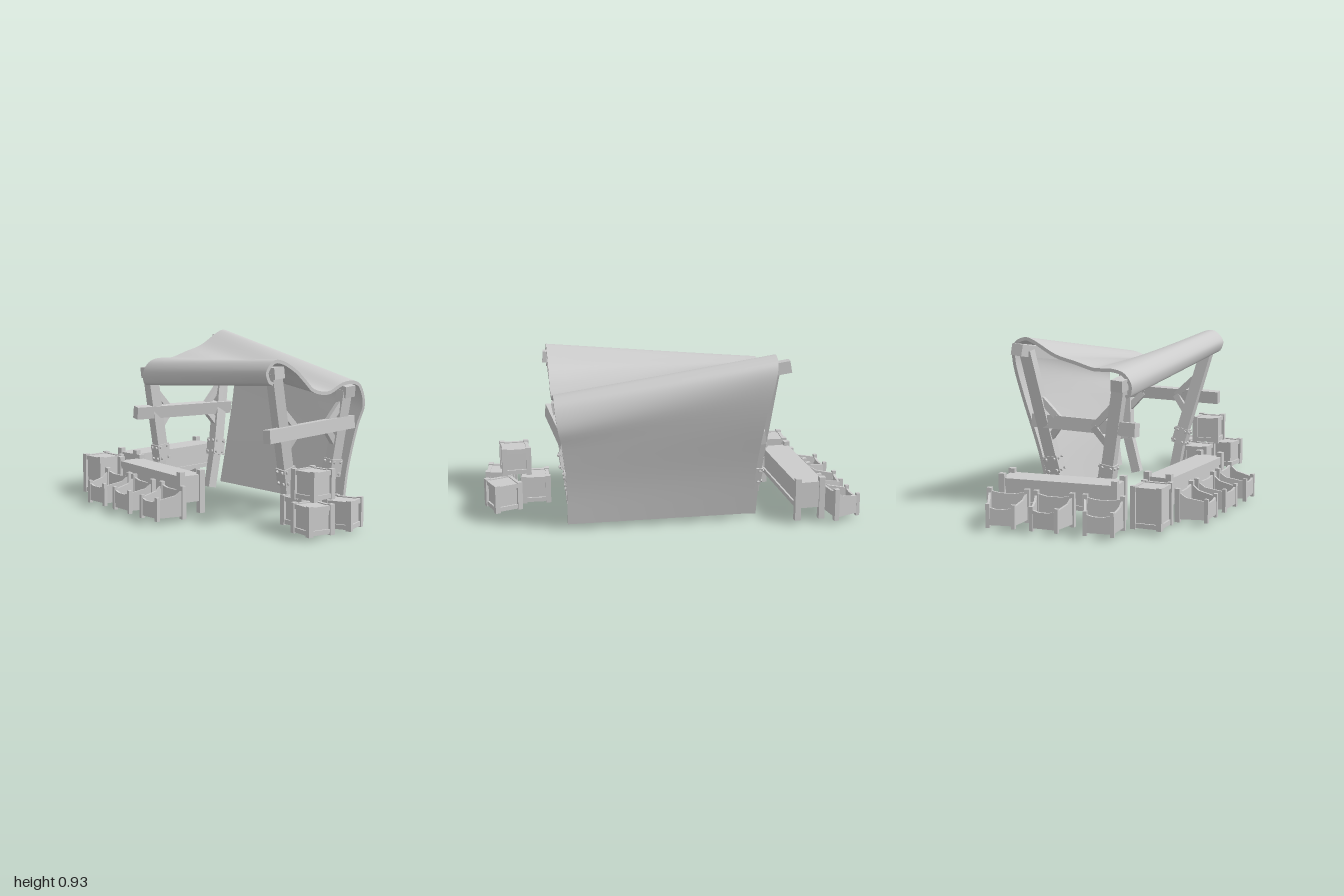
import * as THREE from 'three';
import { mergeGeometries } from 'three/addons/utils/BufferGeometryUtils.js';

const mat = new THREE.MeshStandardMaterial({ color: 0xcccccc, flatShading: true });
const clothMat = new THREE.MeshStandardMaterial({ color: 0xcccccc, side: THREE.DoubleSide });
const V = (x, y, z) => new THREE.Vector3(x, y, z);
const UP = V(0, 1, 0);

function part(parent, name, geo, pos = V(0, 0, 0), material = mat) {
  const m = new THREE.Mesh(geo, material);
  m.name = name;
  m.position.copy(pos);
  parent.add(m);
  return m;
}
const box = (parent, name, w, h, d, x, y, z) => part(parent, name, new THREE.BoxGeometry(w, h, d), V(x, y, z));

// Square timber running from a to b
function beam(parent, name, a, b, w, d = w) {
  const dir = b.clone().sub(a);
  const m = part(parent, name, new THREE.BoxGeometry(w, dir.length(), d), a.clone().add(b).multiplyScalar(0.5));
  m.quaternion.setFromUnitVectors(UP, dir.normalize());
  return m;
}

function place(parent, name, x, y, z, ry = 0) {
  const g = new THREE.Group();
  g.name = name;
  g.position.set(x, y, z);
  g.rotation.y = ry;
  parent.add(g);
  return g;
}

// Quad sheet through rows of points
function sheet(rows) {
  const n = rows[0].length, idx = [];
  for (let i = 0; i < rows.length - 1; i++)
    for (let j = 0; j < n - 1; j++) {
      const a = i * n + j, b = a + n;
      idx.push(a, b, a + 1, b, b + 1, a + 1);
    }
  const g = new THREE.BufferGeometry().setFromPoints(rows.flat());
  g.setIndex(idx);
  g.computeVertexNormals();
  return g;
}

// Thick draped cloth blended between a left and a right end profile of [z, y] points
function canopy(parent) {
  const left = [[.09, .635], [.115, .65], [.12, .71], [.08, .765], [.02, .785], [-.05, .785], [-.1, .787], [-.2, .815],
    [-.31, .845], [-.43, .91], [-.49, .925], [-.55, .89], [-.57, .79], [-.54, .6], [-.46, .3], [-.4, .03]];
  const right = [[.17, .735], [.2, .755], [.213, .81], [.16, .863], [.09, .855], [0, .805], [-.07, .745], [-.13, .695],
    [-.23, .678], [-.33, .715], [-.42, .72], [-.48, .685], [-.52, .58], [-.495, .46], [-.45, .24], [-.42, .03]];
  const curve = (pts, x, xLow) => new THREE.CatmullRomCurve3(pts.map(([z, y], i) =>
    V(THREE.MathUtils.lerp(x, xLow, THREE.MathUtils.smoothstep(i, 11, 14.5)), y, z)), false, 'catmullrom', 0.5).getPoints(75);
  const L = curve(left, -.51, -.42), R = curve(right, .63, .57);
  const outer = [], inner = [], N = 14;
  for (let i = 0; i <= N; i++) {
    const row = L.map((p, j) => p.clone().lerp(R[j], i / N));
    outer.push(row);
    inner.push(row.map((p, j) => {
      const t = row[Math.min(j + 1, row.length - 1)].clone().sub(row[Math.max(j - 1, 0)]).setX(0).normalize();
      return p.clone().add(V(0, t.z, -t.y).multiplyScalar(.018));
    }));
  }
  const e = L.length - 1;
  part(parent, 'canopyCloth', mergeGeometries([
    sheet(outer), sheet([...inner].reverse()),
    sheet([inner[0], outer[0]]), sheet([outer[N], inner[N]]),
    sheet(outer.map((r, i) => [inner[i][0], r[0]])),
    sheet(outer.map((r, i) => [r[e], inner[i][e]])),
  ]), V(0, 0, 0), clothMat);
}

// Bent post: upper and lower timbers joined by a bolted sleeve
function post(parent, name, top, joint, foot) {
  const g = place(parent, name, 0, 0, 0);
  beam(g, 'upperPost', joint, top, .055, .065);
  beam(g, 'lowerPost', foot.clone().setY(.008), joint, .045, .055);
  const s = place(g, 'sleeve', joint.x, joint.y, joint.z);
  s.quaternion.setFromUnitVectors(UP, top.clone().sub(joint).normalize());
  box(s, 'sleeveBlock', .068, .095, .08, 0, 0, 0);
  for (const y of [-.032, .032])
    for (const k of [-1, 1])
      for (const o of [-.024, .024]) {
        part(s, 'bolt', new THREE.CylinderGeometry(.007, .009, .012, 6), V(k * .038, y, o)).rotation.z = -k * Math.PI / 2;
        part(s, 'bolt', new THREE.CylinderGeometry(.007, .009, .012, 6), V(o * .8, y, k * .044)).rotation.x = k * Math.PI / 2;
      }
}

function frame(parent) {
  const g = place(parent, 'stallFrame', 0, 0, 0);
  beam(g, 'frontRoofBeam', V(-.565, .705, .06), V(.65, .8, .14), .06, .065);
  beam(g, 'backRoofBeam', V(-.585, .868, -.495), V(.635, .662, -.39), .062, .065);
  const sides = [
    { f: [V(-.52, .7, .06), V(-.515, .24, -.01), V(-.52, 0, .02)], b: [V(-.5, .85, -.48), V(-.435, .245, -.36), V(-.43, 0, -.31)],
      beam: [V(-.53, .48, .16), V(-.445, .475, -.47)] },
    { f: [V(.605, .8, .14), V(.545, .245, -.01), V(.525, 0, -.05)], b: [V(.59, .67, -.39), V(.54, .25, -.353), V(.525, 0, -.285)],
      beam: [V(.615, .474, .195), V(.575, .492, -.46)] },
  ];
  sides.forEach((s, i) => {
    const side = i ? 'left' : 'right', out = i ? .022 : -.022;
    post(g, side + 'FrontPost', ...s.f);
    post(g, side + 'BackPost', ...s.b);
    beam(g, side + 'SideBeam', ...s.beam, .05, .07).rotation.z += 0;
    // Knee braces above and below the side beam
    for (const [p, k] of [[s.f, -1], [s.b, 1]])
      for (const dy of [.14, -.11]) {
        const y = .48 + dy;
        const on = p[1].clone().lerp(p[0], (y - p[1].y) / (p[0].y - p[1].y));
        const mid = p[1].clone().lerp(p[0], (.48 - p[1].y) / (p[0].y - p[1].y));
        beam(g, 'kneeBrace', on, V(mid.x + out * .3, .48, mid.z + k * .11), .03, .035);
      }
  });
}

// Framed crate with recessed panels, standing on y = 0 of its group
function crate(parent, name, x, y, z, ry, w = .155, h = .155) {
  const g = place(parent, name, x, y, z, ry), t = .024, e = w / 2 - t / 2;
  box(g, 'panels', w - .026, h - .022, w - .026, 0, h / 2, 0);
  for (const a of [-1, 1]) {
    for (const b of [-1, 1]) box(g, 'cornerPost', t + .004, h, t + .004, a * e, h / 2, b * e);
    for (const yy of [t / 2 + .006, h - t / 2 - .006]) {
      box(g, 'rail', w - t, t, t - .006, 0, yy, a * e);
      box(g, 'rail', t - .006, t, w - t, a * e, yy, 0);
    }
  }
}

// Low display bench: top board, hollow sides, corner posts
function bench(parent, name, x, z, ry, len, wid) {
  const g = place(parent, name, x, 0, z, ry), ex = len / 2 - .014, ez = wid / 2 - .014;
  box(g, 'topBoard', len - .012, .018, wid - .008, 0, .219, 0);
  for (const a of [-1, 1]) {
    box(g, 'longPanel', len - .04, .12, .012, 0, .15, a * (ez - .006));
    box(g, 'topRail', len - .03, .026, .02, 0, .2, a * ez);
    box(g, 'bottomRail', len - .03, .024, .02, 0, .098, a * ez);
    box(g, 'endPanel', .014, .13, wid - .03, a * ex, .15, 0);
    for (const b of [-1, 1]) box(g, 'cornerPost', .032, .232, .032, a * ex, .136, b * ez);
  }
}

// Open bin: four corners [x, z], the first two at the tall back side
function bin(parent, name, c) {
  const g = place(parent, name, 0, 0, 0), h = [.175, .175, .125, .125];
  c.forEach(([x, z], i) => {
    const k = (i + 1) % 4, [x2, z2] = c[k], len = Math.hypot(x2 - x, z2 - z);
    const s = new THREE.Shape([[0, .03], [len, .03], [len, h[k]], [len * .7, h[k] * .6 + h[i] * .4 - .012],
      [len * .3, h[i] * .6 + h[k] * .4 - .012], [0, h[i]]].map(p => new THREE.Vector2(...p)));
    const wall = part(g, 'wall', new THREE.ExtrudeGeometry(s, { depth: .012, bevelEnabled: false }).translate(0, 0, -.006), V(x, 0, z));
    wall.rotation.y = -Math.atan2(z2 - z, x2 - x);
    const t = i < 2 ? .026 : .02, ph = h[i] + .015 - .015;
    box(g, 'cornerPost', t, ph, t, x, .015 + ph / 2, z).rotation.y = -Math.atan2(c[1][1] - c[0][1], c[1][0] - c[0][0]);
  });
}

export function createModel() {
  const root = new THREE.Group();
  root.name = 'marketStall';
  canopy(root);
  frame(root);

  bench(root, 'sideBench', -.682, -.19, -Math.atan2(.64, .055), .64, .16);
  bench(root, 'frontBench', -.155, .28, -.1, .64, .155);
  crate(root, 'cornerCrate', -.66, .02, .295, 0, .165, .22);

  crate(root, 'lowerCrate', .712, .015, .035, 0);
  crate(root, 'lowerCrate', .893, .015, -.078, .36);
  crate(root, 'lowerCrate', .895, .015, .138, -.15);
  crate(root, 'upperCrate', .818, .17, .062, .06);

  [[[-.505, .375], [-.31, .375], [-.34, .52], [-.475, .52]],
    [[-.25, .385], [-.06, .405], [-.085, .54], [-.23, .53]],
    [[.02, .405], [.205, .41], [.17, .553], [.04, .553]],
    [[-.848, -.525], [-.81, -.33], [-.955, -.335], [-.98, -.465]],
    [[-.815, -.275], [-.80, -.08], [-.945, -.1], [-.95, -.235]],
    [[-.795, -.01], [-.765, .182], [-.91, .188], [-.93, .05]],
  ].forEach(c => bin(root, 'openBin', c));
  return root;
}
